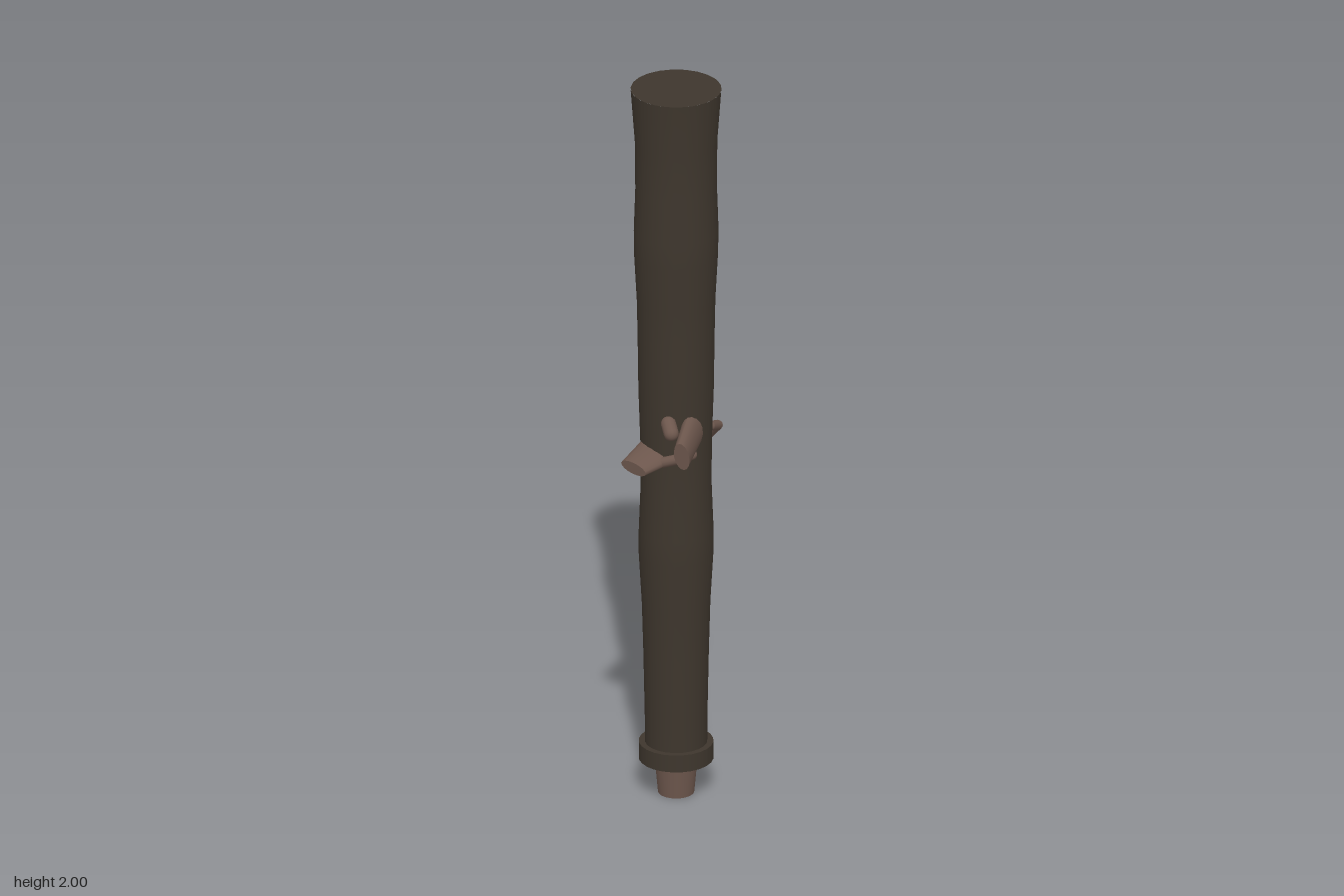
import * as THREE from 'three';

const CX = -0.015, CZ = -0.01; // trunk axis

export function createModel() {
  const model = new THREE.Group();
  const bark = new THREE.MeshStandardMaterial({ color: 0x3e362d });
  bark.name = 'dark bark';
  const wood = new THREE.MeshStandardMaterial({ color: 0x6d574d });
  wood.name = 'pale wood';
  const v = (a) => new THREE.Vector3(...a);

  function add(name, geometry, material) {
    const mesh = new THREE.Mesh(geometry, material);
    mesh.name = name;
    model.add(mesh);
    return mesh;
  }

  // Tapered stub from a to b with an elliptical section, wide along the side vector
  function stub(name, a, b, rA, rB, side, flat) {
    const dir = v(b).sub(v(a));
    const mesh = add(name, new THREE.CylinderGeometry(rB, rA, dir.length(), 16), wood);
    const y = dir.clone().normalize();
    const z = new THREE.Vector3().crossVectors(v(side), y).normalize();
    const x = new THREE.Vector3().crossVectors(y, z);
    mesh.quaternion.setFromRotationMatrix(new THREE.Matrix4().makeBasis(x, y, z));
    mesh.position.copy(v(a)).add(v(b)).multiplyScalar(0.5);
    mesh.scale.z = flat;
  }

  // Round-ended twig along a chain of points
  function twig(name, points, r) {
    for (let i = 0; i < points.length - 1; i++) {
      const a = v(points[i]), b = v(points[i + 1]);
      const mesh = add(name, new THREE.CapsuleGeometry(r, a.distanceTo(b), 5, 12), wood);
      mesh.position.copy(a).add(b).multiplyScalar(0.5);
      mesh.quaternion.setFromUnitVectors(new THREE.Vector3(0, 1, 0), b.sub(a).normalize());
    }
  }

  // Trunk with gentle swells, closed by flat ends
  const profile = [
    [0.081, 0.12], [0.081, 0.2], [0.085, 0.4], [0.089, 0.54], [0.097, 0.68], [0.097, 0.75],
    [0.092, 0.88], [0.093, 1.0], [0.098, 1.15], [0.1, 1.3], [0.102, 1.4], [0.109, 1.53],
    [0.11, 1.6], [0.106, 1.72], [0.107, 1.85], [0.118, 2.0],
  ].map(([r, y]) => new THREE.Vector2(r, y));
  add('trunk', new THREE.LatheGeometry(profile, 22), bark).position.set(CX, 0, CZ);
  const top = add('trunkTop', new THREE.CircleGeometry(0.118, 22), bark);
  top.rotation.x = -Math.PI / 2;
  top.position.set(CX, 2, CZ);

  // Collar and foot peg
  add('collar', new THREE.CylinderGeometry(0.097, 0.097, 0.048, 24), bark).position.set(CX, 0.121, CZ);
  add('footPeg', new THREE.CylinderGeometry(0.057, 0.047, 0.11, 20), wood).position.set(CX, 0.055, CZ);

  // Broken branch stubs
  stub('frontStub', [-0.03, 0.985, 0.05], [-0.028, 0.978, 0.16], 0.057, 0.039, [1, -0.18, 0], 0.42);
  stub('sideStub', [0.055, 1.062, 0.01], [0.113, 1.042, 0.142], 0.05, 0.04, [-0.15, 1, 0], 0.5);

  // Small knots and twigs
  twig('frontKnot', [[0.026, 1.09, 0.08], [0.044, 1.072, 0.093]], 0.02);
  twig('lowerKnot', [[0.012, 0.978, 0.085], [0.05, 0.992, 0.072], [0.075, 1.002, 0.045]], 0.014);
  twig('backTwig', [[0.045, 1.03, -0.08], [0.037, 1.015, -0.122], [-0.016, 0.962, -0.148]], 0.013);
  twig('backKnot', [[-0.09, 1.035, -0.066], [-0.102, 1.01, -0.082], [-0.096, 0.975, -0.078]], 0.013);
  twig('sideKnot', [[-0.1, 1.015, -0.035], [-0.107, 0.985, -0.04]], 0.012);

  return model;
}
